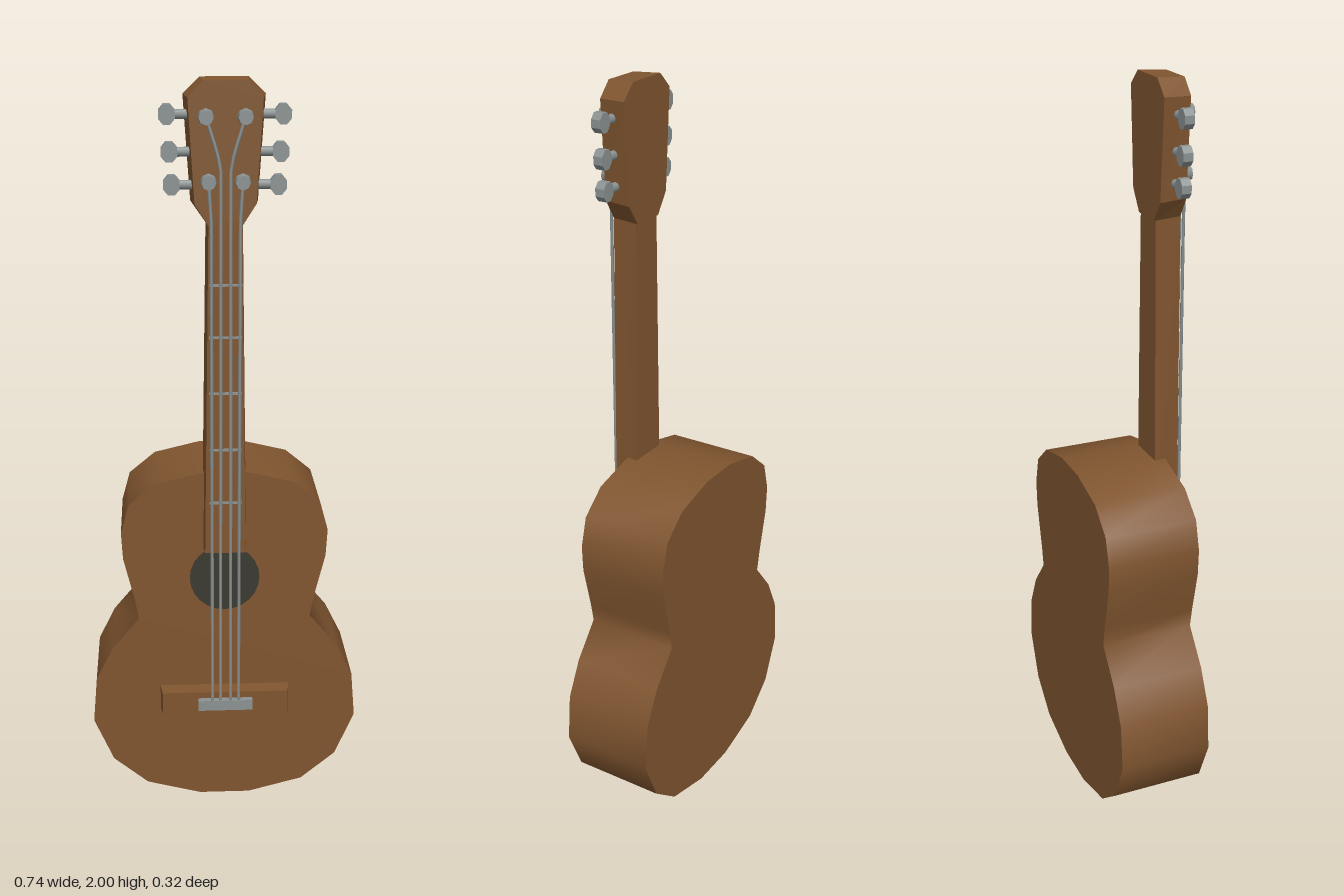
import * as THREE from 'three';
import { toCreasedNormals } from 'three/addons/utils/BufferGeometryUtils.js';

const wood = new THREE.MeshStandardMaterial({ color: 0x80552f });
wood.name = 'brown wood';
const metal = new THREE.MeshStandardMaterial({ color: 0x8b9292 });
metal.name = 'grey metal';
const dark = new THREE.MeshStandardMaterial({ color: 0x3a3a32 });
dark.name = 'dark sound hole';

// Mirrors a right-half outline, listed bottom to top, into a closed shape
function mirroredShape(half) {
  const pts = half.map(([x, y]) => new THREE.Vector2(x, y));
  const left = half.map(([x, y]) => new THREE.Vector2(-x, y)).reverse();
  return new THREE.Shape(pts.concat(left));
}

// Extrudes an outline from z0 to z1, shrinking the front face about its middle height
function prism(half, z0, z1, sx = 1, sy = 1) {
  const geo = new THREE.ExtrudeGeometry(mirroredShape(half), { depth: z1 - z0, bevelEnabled: false });
  geo.translate(0, 0, z0);
  const mid = (half[0][1] + half[half.length - 1][1]) / 2;
  const p = geo.attributes.position;
  for (let i = 0; i < p.count; i++) {
    if (p.getZ(i) > (z0 + z1) / 2) {
      p.setXY(i, p.getX(i) * sx, mid + (p.getY(i) - mid) * sy);
    }
  }
  geo.computeVertexNormals();
  return geo;
}

export function createModel() {
  const group = new THREE.Group();
  const add = (name, geo, mat, x = 0, y = 0, z = 0) => {
    const mesh = new THREE.Mesh(geo, mat);
    mesh.name = name;
    mesh.position.set(x, y, z);
    group.add(mesh);
    return mesh;
  };

  // Body with a waisted outline
  const body = prism([
    [0.07, 0], [0.22, 0.04], [0.315, 0.12], [0.368, 0.245], [0.357, 0.375], [0.31, 0.47],
    [0.235, 0.56], [0.245, 0.615], [0.275, 0.74], [0.279, 0.815], [0.257, 0.895], [0.185, 0.955], [0.06, 0.985],
  ], -0.16, 0.095);
  add('body', toCreasedNormals(body, 1.0), wood);
  add('soundHole', new THREE.CylinderGeometry(0.095, 0.095, 0.006, 24).rotateX(Math.PI / 2), dark, 0, 0.68, 0.095);

  // Neck and headstock, both narrower at the front
  add('neck', prism([[0.06, 0.77], [0.047, 1.66]], 0.065, 0.135, 0.9), wood);
  add('headstock', prism([[0.047, 1.645], [0.085, 1.7], [0.102, 1.96], [0.06, 2]], 0.06, 0.135, 0.9, 0.98), wood);

  // Bridge and saddle
  add('bridge', prism([[0.18, 0.278], [0.18, 0.352]], 0.09, 0.135, 0.965, 0.9), wood);
  add('saddle', new THREE.BoxGeometry(0.15, 0.03, 0.02), metal, 0, 0.315, 0.142);

  // Frets
  for (const y of [0.915, 1.063, 1.217, 1.365, 1.5]) {
    add('fret', new THREE.BoxGeometry(0.084, 0.006, 0.006), metal, 0, y, 0.136);
  }

  for (const side of [-1, 1]) {
    // Strings: the inner pair fans out to the upper posts
    const zs = 0.147;
    const paths = [
      [[0.036, 0.31], [0.036, 1.66], [0.042, 1.757]],
      [[0.014, 0.31], [0.012, 1.79], [0.025, 1.84], [0.048, 1.912]],
    ];
    for (const pts of paths) {
      const path = new THREE.CurvePath();
      for (let i = 1; i < pts.length; i++) {
        const [a, b] = [pts[i - 1], pts[i]].map(([x, y]) => new THREE.Vector3(side * x, y, zs));
        path.add(new THREE.LineCurve3(a, b));
      }
      add('string', new THREE.TubeGeometry(path, 48, 0.0045, 5), metal);
    }

    // String posts with wider caps
    for (const [x, y] of [[0.042, 1.757], [0.048, 1.912]]) {
      add('postStem', new THREE.CylinderGeometry(0.012, 0.012, 0.03, 8).rotateX(Math.PI / 2), metal, side * x, y, 0.14);
      add('postCap', new THREE.CylinderGeometry(0.018, 0.021, 0.02, 8).rotateX(Math.PI / 2), metal, side * x, y, 0.15);
    }

    // Tuning pegs: a shaft and a flat knob
    for (const [y, x] of [[1.915, 0.142], [1.825, 0.137], [1.745, 0.132]]) {
      add('pegShaft', new THREE.CylinderGeometry(0.012, 0.012, 0.06, 8).rotateZ(Math.PI / 2), metal, side * (x - 0.04), y, 0.1);
      const knob = new THREE.CylinderGeometry(0.022, 0.022, 0.026, 8, 1).rotateY(Math.PI / 8).rotateX(Math.PI / 2);
      knob.scale(1, 1.2, 1);
      add('pegKnob', toCreasedNormals(knob, 0.6), metal, side * x, y, 0.1);
    }
  }
  return group;
}
